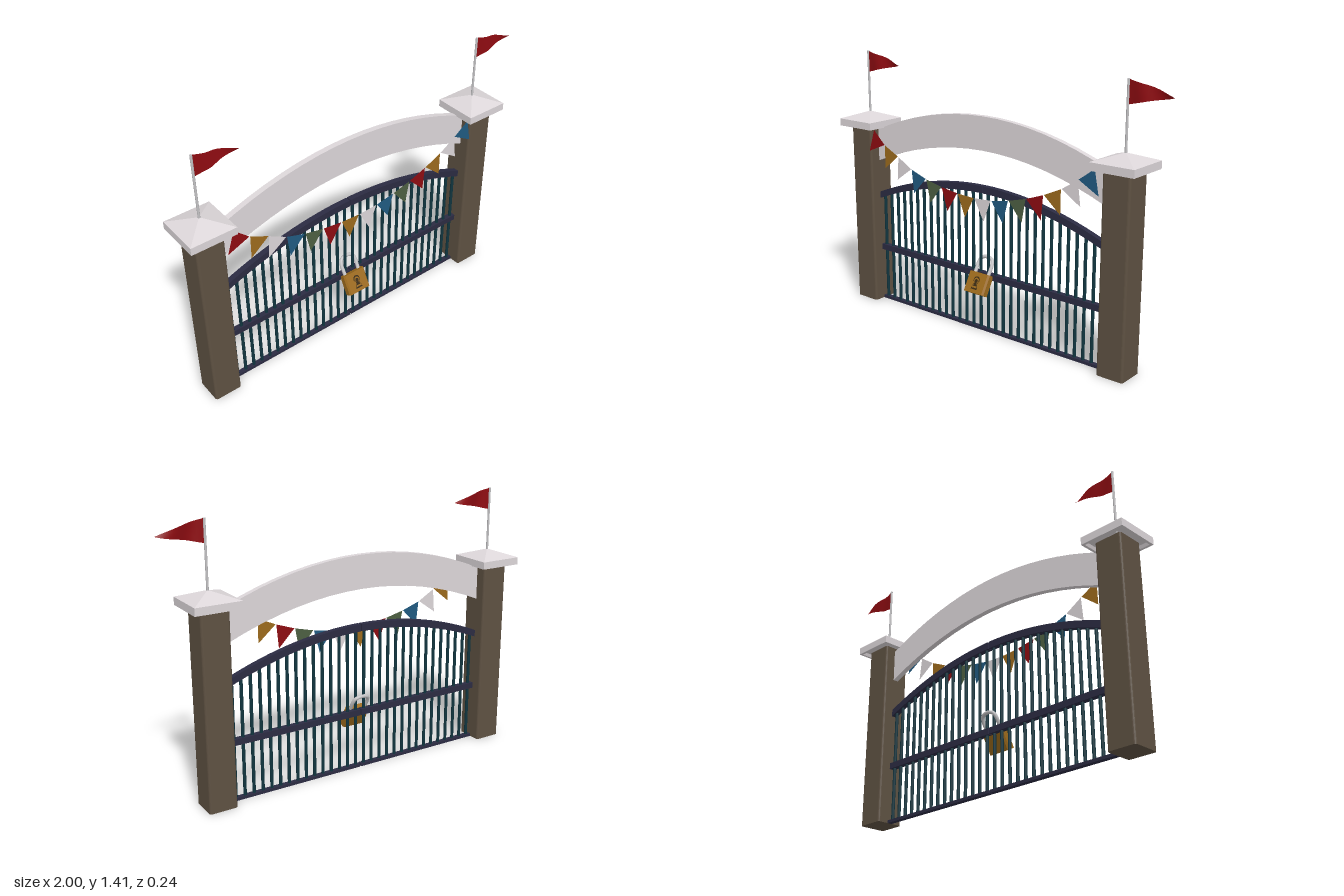
import * as THREE from 'three';

const mat = (name, color, extra = {}) => {
  const m = new THREE.MeshStandardMaterial({ color, ...extra });
  m.name = name;
  return m;
};

export function createModel() {
  const two = { side: THREE.DoubleSide };
  const stone = mat('pale stone', 0xdcd6d9, two);
  const wood = mat('brown pillar', 0x5e5142);
  const navy = mat('navy rail', 0x2b2b42);
  const teal = mat('dark teal bar', 0x10353f);
  const steel = mat('steel', 0xc4c3c5);
  const red = mat('red cloth', 0x8e0c11, two);
  const gold = mat('gold', 0x9c6a1c, two);
  const blue = mat('blue cloth', 0x205a80, two);
  const green = mat('green cloth', 0x4d5f42, two);
  const dark = mat('dark keyhole', 0x3a2a12);

  const CX = -0.057, HALF = 0.75; // middle of the gateway and half its width
  const group = new THREE.Group();
  const add = (name, geo, material, x = 0, y = 0, z = 0, parent = group) => {
    const mesh = new THREE.Mesh(geo, material);
    mesh.name = name;
    mesh.position.set(x, y, z);
    parent.add(mesh);
    return mesh;
  };
  const flat = (geo) => {
    const g = geo.toNonIndexed();
    g.computeVertexNormals();
    return g;
  };

  // Bowed band between two parallel curves, extruded about z = 0
  const band = (x0, x1, top, bottom, depth) => {
    const n = 16, shape = new THREE.Shape();
    const xAt = (i) => x0 + (x1 - x0) * i / n;
    shape.moveTo(x0, bottom(x0));
    for (let i = 1; i <= n; i++) shape.lineTo(xAt(i), bottom(xAt(i)));
    for (let i = n; i >= 0; i--) shape.lineTo(xAt(i), top(xAt(i)));
    const g = new THREE.ExtrudeGeometry(shape, { depth, bevelEnabled: false });
    return g.translate(0, 0, -depth / 2);
  };
  const bow = (crown, drop) => (x) => crown - drop * (x / HALF) ** 2;

  // Rounded square outline
  const roundSquare = (w, r) => {
    const s = new THREE.Shape(), a = w / 2 - r;
    s.absarc(a, a, r, 0, Math.PI / 2);
    s.absarc(-a, a, r, Math.PI / 2, Math.PI);
    s.absarc(-a, -a, r, Math.PI, Math.PI * 1.5);
    s.absarc(a, -a, r, Math.PI * 1.5, Math.PI * 2);
    return s;
  };

  // Pillars with hollow-bottomed caps, poles and pennants
  const pillarGeo = new THREE.ExtrudeGeometry(roundSquare(0.147, 0.012),
    { depth: 1.01, bevelEnabled: false, curveSegments: 4 }).rotateX(-Math.PI / 2);
  const capProfile = [[0.07, 1.02], [0.1, 1.02], [0.105, 1.003], [0.118, 1.003], [0.118, 1.042], [0, 1.083]]
    .map(([r, y]) => new THREE.Vector2(r * Math.SQRT2, y));
  const capGeo = flat(new THREE.LatheGeometry(capProfile, 4).rotateY(Math.PI / 4));
  const poleGeo = new THREE.CylinderGeometry(0.006, 0.006, 0.345, 12);
  const pennantGeo = new THREE.PlaneGeometry(1, 1, 14, 4);
  const pp = pennantGeo.attributes.position;
  for (let i = 0; i < pp.count; i++) {
    const t = pp.getX(i) + 0.5, v = pp.getY(i);
    pp.setXYZ(i, 0.23 * t, 1.355 + v * 0.113 * (1 - t) ** 0.88 + 0.005 * Math.sin(t * 5) * t,
      0.012 * Math.sin(t * 7 + v) * Math.min(1, t * 3) * (1 - 0.5 * t));
  }
  pennantGeo.computeVertexNormals();
  for (const [side, x] of [['right', -0.881], ['left', 0.766]]) {
    add(side + 'Pillar', pillarGeo, wood, x);
    add(side + 'PillarCap', capGeo, stone, x);
    add(side + 'FlagPole', poleGeo, steel, x, 1.24);
    add(side + 'Pennant', pennantGeo, red, x + 0.003);
  }

  // Overhead arch
  add('arch', band(-HALF, HALF, bow(1.15, 0.16), bow(0.975, 0.16), 0.03), stone, CX);

  // Two mirrored gate leaves
  const railTop = bow(0.79, 0.155), railBottom = bow(0.753, 0.155);
  for (const s of [-1, 1]) {
    const leaf = new THREE.Group();
    leaf.name = s < 0 ? 'rightLeaf' : 'leftLeaf';
    leaf.position.x = CX;
    group.add(leaf);
    const lo = s < 0 ? -HALF : 0.003, hi = s < 0 ? -0.003 : HALF;
    add('topRail', band(lo, hi, railTop, railBottom, 0.03), navy, 0, 0, 0, leaf);
    const mid = (lo + hi) / 2, len = hi - lo;
    add('middleRail', new THREE.BoxGeometry(len, 0.032, 0.03), navy, mid, 0.311, 0, leaf);
    add('bottomRail', new THREE.BoxGeometry(len, 0.015, 0.026), navy, mid, 0.0075, 0, leaf);
    for (let i = 0; i < 15; i++) {
      const x = s * (0.025 + i * 0.05), h = railBottom(x) + 0.012;
      add('bar', new THREE.CylinderGeometry(0.0085, 0.0085, h - 0.004, 10), teal, x, h / 2, 0, leaf);
    }
  }

  // Bunting: triangles hung square to a sagging line in front of the gate
  const sag = new THREE.CatmullRomCurve3([
    [-0.768, 1.003], [-0.693, 0.932], [-0.595, 0.883], [-0.495, 0.826], [-0.28, 0.765], [0, 0.745],
    [0.27, 0.797], [0.479, 0.882], [0.564, 0.936], [0.662, 1.007],
  ].map(([x, y]) => new THREE.Vector3(x, y, 0)));
  const cloths = [red, gold, stone, blue, green], count = 14;
  for (let i = 0; i < count; i++) {
    const a = sag.getPointAt((i + 0.02) / count), b = sag.getPointAt((i + 0.98) / count);
    const d = b.clone().sub(a).normalize();
    const tip = a.clone().add(b).multiplyScalar(0.5).add(new THREE.Vector3(d.y, -d.x, 0).multiplyScalar(0.115));
    const tri = new THREE.Shape([a, tip, b].map((p) => new THREE.Vector2(p.x, p.y)));
    add('buntingFlag', new THREE.ShapeGeometry(tri), cloths[i % 5], 0, 0, 0.085);
  }

  // Padlock, its foot tilted forward
  const lock = new THREE.Group();
  lock.name = 'padlock';
  lock.position.set(CX, 0.275, 0.05);
  lock.rotation.x = -Math.PI / 6;
  group.add(lock);
  const body = new THREE.Shape([[-0.066, -0.016], [-0.058, -0.025], [0.058, -0.025], [0.066, -0.016],
    [0.066, 0.016], [0.058, 0.025], [-0.058, 0.025], [-0.066, 0.016]].map(([x, y]) => new THREE.Vector2(x, y)));
  add('lockBody', new THREE.ExtrudeGeometry(body, { depth: 0.11, bevelEnabled: false })
    .rotateX(-Math.PI / 2), gold, 0, -0.055, 0, lock);
  const bend = new THREE.CatmullRomCurve3([[-0.044, 0.05], [-0.044, 0.115], [-0.034, 0.138], [0, 0.148],
    [0.034, 0.138], [0.044, 0.115], [0.044, 0.05]].map(([x, y]) => new THREE.Vector3(x, y, 0)));
  add('shackle', new THREE.TubeGeometry(bend, 32, 0.0095, 12), steel, 0, 0, 0, lock);

  // Keyhole: thin stacked plates make an outline around a dark slot
  const keyhole = (name, k, material, z) => {
    const s = new THREE.Shape();
    s.moveTo(-0.02 * k, -0.035 * k);
    s.lineTo(0.02 * k, -0.035 * k);
    s.lineTo(0.01 * k, 0);
    s.absarc(0, 0.014 * k, 0.018 * k, -Math.PI / 4, Math.PI * 5 / 4);
    s.lineTo(-0.01 * k, 0);
    add(name, new THREE.ExtrudeGeometry(s, { depth: 0.001, bevelEnabled: false }), material, 0, 0, z, lock);
  };
  keyhole('keyholeOutline', 1.05, dark, 0.0245);
  keyhole('keyholePlate', 0.82, gold, 0.0252);
  keyhole('keyholeSlot', 0.55, dark, 0.0259);

  return group;
}
